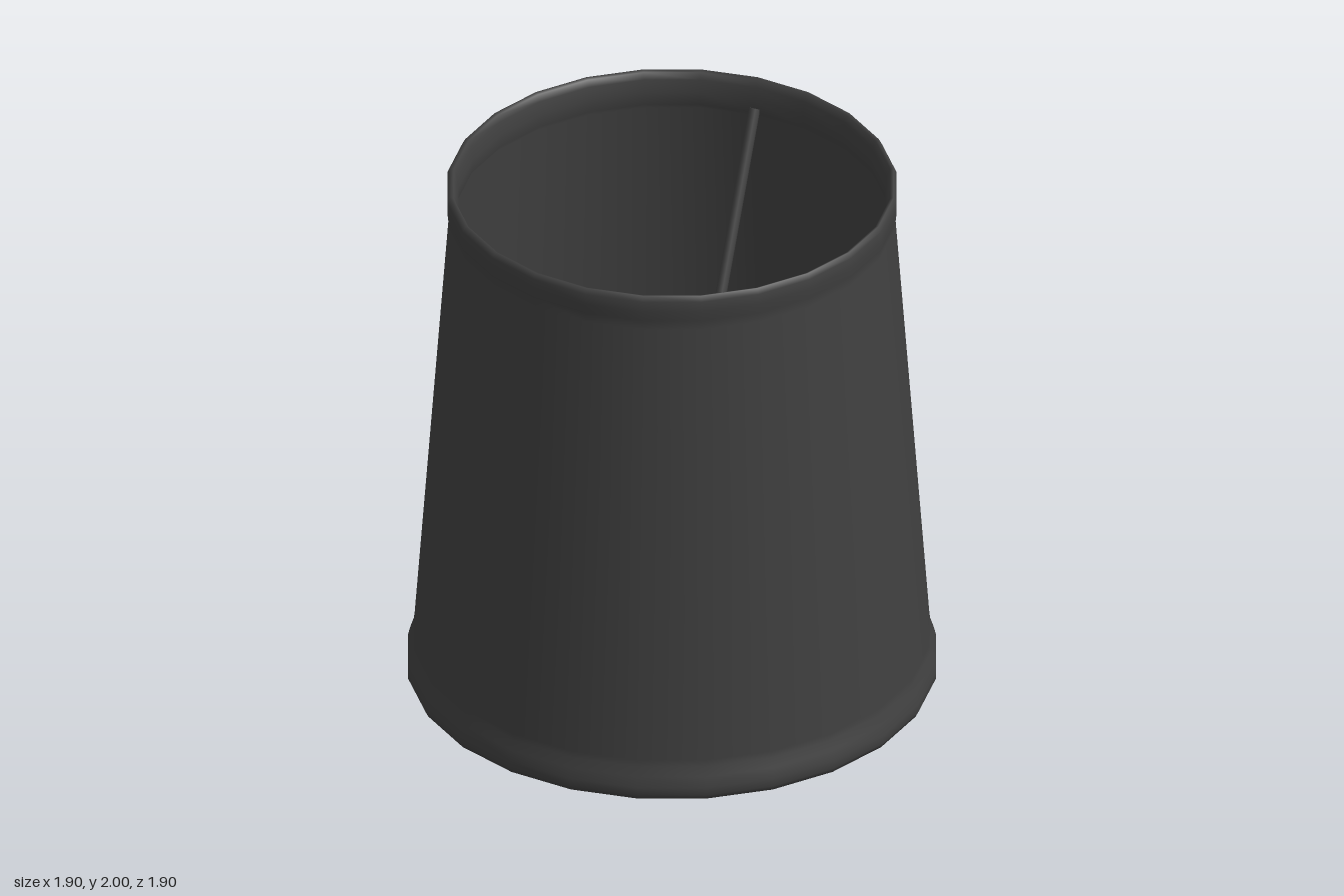
import * as THREE from 'three';

const material = new THREE.MeshStandardMaterial({ color: 0x404040 });

// Surface of revolution from [radius, height] pairs
function turned(name, profile, sides) {
  const points = profile.map(([r, y]) => new THREE.Vector2(r, y));
  const mesh = new THREE.Mesh(new THREE.LatheGeometry(points, sides), material);
  mesh.name = name;
  return mesh;
}

// Straight round rod between two points
function rod(name, a, b, radius) {
  const dir = new THREE.Vector3().subVectors(b, a);
  const mesh = new THREE.Mesh(new THREE.CylinderGeometry(radius, radius, dir.length(), 8), material);
  mesh.name = name;
  mesh.position.addVectors(a, b).multiplyScalar(0.5);
  mesh.quaternion.setFromUnitVectors(new THREE.Vector3(0, 1, 0), dir.normalize());
  return mesh;
}

export function createModel() {
  const model = new THREE.Group();
  model.name = 'lampshade';

  // Tapered shade with rolled hems, outside going up and inside coming down
  const shade = turned('shade', [
    [0.925, 0.005], [0.94, 0], [0.95, 0.02], [0.95, 0.05], [0.94, 0.09], [0.928, 0.125],
    [0.925, 0.15], [0.798, 1.86], [0.804, 1.9], [0.808, 1.94], [0.808, 1.98], [0.797, 2],
    [0.785, 1.995], [0.775, 1.97], [0.768, 1.92], [0.77, 1.87], [0.783, 1.85],
    [0.908, 0.15], [0.908, 0.12], [0.918, 0.04], [0.925, 0.005],
  ], 24);
  shade.rotation.y = 0.052;
  model.add(shade);

  // Bulb with a screw base hanging below the globe
  const globe = [];
  for (let i = 0; i <= 10; i++) {
    const a = -0.7 + (i / 10) * (Math.PI / 2 + 0.7);
    globe.push([Math.max(0, 0.27 * Math.cos(a)), 1.11 + 0.27 * Math.sin(a)]);
  }
  const bulb = turned('bulb', [
    [0, 0.365], [0.055, 0.37], [0.105, 0.43], [0.11, 0.46], [0.11, 0.66], [0.135, 0.76], ...globe,
  ], 16);
  bulb.position.x = 0.01;
  bulb.rotation.y = 0.052;
  model.add(bulb);

  // Three steep spokes from the base of the bulb up to the top hem
  const start = Math.atan2(0.16, 0.75);
  for (let i = 0; i < 3; i++) {
    const a = start + (i * 2 * Math.PI) / 3;
    const at = (r, y) => new THREE.Vector3(r * Math.cos(a), y, r * Math.sin(a));
    model.add(rod('spoke', at(0.09, 0.59), at(0.77, 1.885), 0.02));
  }
  return model;
}
